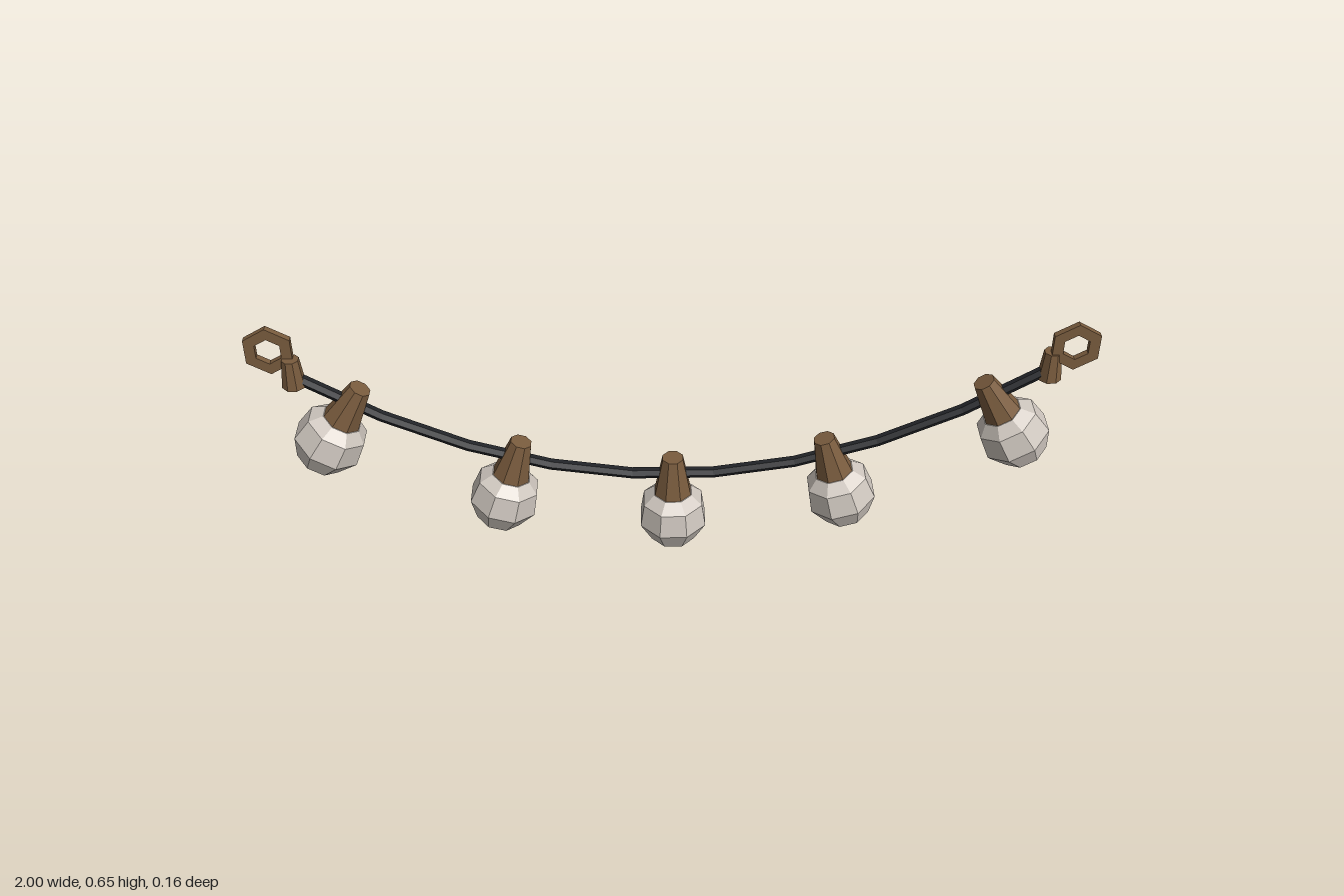
import * as THREE from 'three';

const makeMaterial = (name, color) => {
  const m = new THREE.MeshStandardMaterial({ color, flatShading: true });
  m.name = name;
  return m;
};

// Height of the sagging cable at a given x
const sag = (x) => 0.215 + 0.385 * x * x;

class SagCurve extends THREE.Curve {
  getPoint(t, target = new THREE.Vector3()) {
    const x = -0.9 + 1.8 * t;
    return target.set(x, sag(x), 0);
  }
  // Even steps in x rather than along the length
  getUtoTmapping(u) { return u; }
}

function hexPath(PathType, r) {
  const path = new PathType();
  for (let i = 0; i < 6; i++) {
    const a = Math.PI / 2 + i * Math.PI / 3;
    path[i ? 'lineTo' : 'moveTo'](r * Math.cos(a), r * Math.sin(a));
  }
  path.closePath();
  return path;
}

export function createModel() {
  const model = new THREE.Group();
  model.name = 'stringLights';
  const brown = makeMaterial('socketBrown', 0x7a5c3e);
  const black = makeMaterial('cableBlack', 0x222428);
  const glass = makeMaterial('bulbGlass', 0xd0c8c0);

  const add = (parent, name, geometry, material, x = 0, y = 0, z = 0) => {
    const mesh = new THREE.Mesh(geometry, material);
    mesh.name = name;
    mesh.position.set(x, y, z);
    parent.add(mesh);
    return mesh;
  };

  // Cable
  add(model, 'cable', new THREE.TubeGeometry(new SagCurve(), 9, 0.014, 6), black);

  // Socket and bulb shapes, measured from the cable downwards
  const socketGeometry = new THREE.CylinderGeometry(0.027, 0.049, 0.11, 8);
  socketGeometry.rotateY(Math.PI / 8);
  const profile = [[0, -0.213], [0.058, -0.193], [0.0876, -0.14], [0.078, -0.079], [0.05, -0.054], [0, -0.054]];
  const bulbGeometry = new THREE.LatheGeometry(profile.map(([r, y]) => new THREE.Vector2(r, y)), 8);
  bulbGeometry.rotateY(Math.PI / 8);

  // Five lamps hanging square to the cable
  for (const x of [-0.768, -0.384, 0, 0.384, 0.768]) {
    const lamp = new THREE.Group();
    lamp.name = 'lamp';
    lamp.position.set(x, sag(x), 0);
    lamp.rotation.z = Math.atan(0.77 * x);
    add(lamp, 'socket', socketGeometry, brown, 0, -0.004, 0);
    add(lamp, 'bulb', bulbGeometry, glass);
    model.add(lamp);
  }

  // Cable ends: tapered cap with a hexagonal hanging ring
  const capGeometry = new THREE.CylinderGeometry(0.021, 0.029, 0.075, 8);
  capGeometry.rotateY(Math.PI / 8);
  const ringShape = hexPath(THREE.Shape, 0.063);
  ringShape.holes.push(hexPath(THREE.Path, 0.034));
  const ringGeometry = new THREE.ExtrudeGeometry(ringShape, { depth: 0.016, bevelEnabled: false });
  for (const turn of [0, Math.PI]) {
    const end = new THREE.Group();
    end.name = turn ? 'rightEnd' : 'leftEnd';
    end.rotation.y = turn;
    add(end, 'endCap', capGeometry, brown, 0.896, 0.535, 0);
    add(end, 'hangingRing', ringGeometry, brown, 0.945, 0.593, 0);
    model.add(end);
  }
  return model;
}
